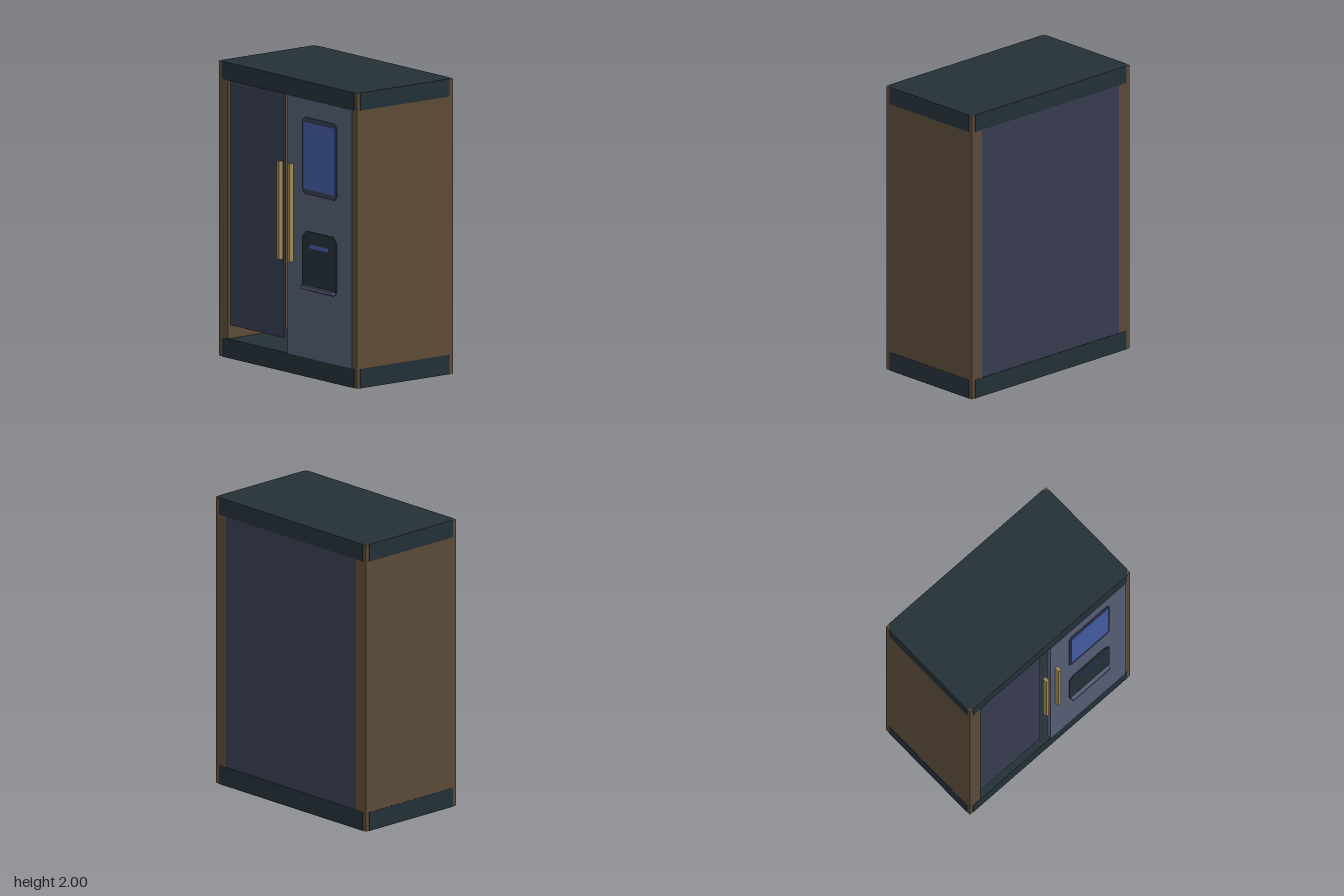
import * as THREE from 'three';

const mat = (name, color) => {
  const m = new THREE.MeshStandardMaterial({ color });
  m.name = name;
  return m;
};

export function createModel() {
  const brown = mat('brown casing', 0x5c4b38);
  const dark = mat('dark trim', 0x243038);
  const navy = mat('navy panel', 0x373c50);
  const slate = mat('slate door', 0x565e76);
  const blue = mat('blue display', 0x435aa0);
  const gold = mat('gold handle', 0xa08752);

  const model = new THREE.Group();
  model.name = 'cabinet';

  const add = (name, geometry, material) => {
    const mesh = new THREE.Mesh(geometry, material);
    mesh.name = name;
    model.add(mesh);
    return mesh;
  };

  // Box given by its minimum and maximum corners
  const box = (name, material, x0, x1, y0, y1, z0, z1) => {
    const g = new THREE.BoxGeometry(x1 - x0, y1 - y0, z1 - z0);
    g.translate((x0 + x1) / 2, (y0 + y1) / 2, (z0 + z1) / 2);
    return add(name, g, material);
  };

  // Rectangle with cut corners: cb on the low-v side, ct on the high-v side
  const cutRect = (u0, u1, v0, v1, cb, ct) => new THREE.Shape([
    [u0 + cb, v0], [u1 - cb, v0], [u1, v0 + cb], [u1, v1 - ct],
    [u1 - ct, v1], [u0 + ct, v1], [u0, v1 - ct], [u0, v0 + cb],
  ].map(([u, v]) => new THREE.Vector2(u, v)));

  const plate = (name, material, shape, z0, z1) => {
    const g = new THREE.ExtrudeGeometry(shape, { depth: z1 - z0, bevelEnabled: false });
    g.translate(0, 0, z0);
    return add(name, g, material);
  };

  // Side walls and back of the hollow casing
  box('leftWall', brown, 0.63, 0.725, 0.001, 1.999, -0.43, 0.39);
  box('rightWall', brown, -0.725, -0.63, 0.001, 1.999, -0.43, 0.39);
  box('backPanel', navy, -0.63, 0.63, 0.1, 1.9, -0.428, -0.4);

  // Top and bottom slabs with cut vertical corners
  for (const [name, y0, y1] of [['base', 0, 0.13], ['topCap', 1.88, 2]]) {
    const g = new THREE.ExtrudeGeometry(
      cutRect(-0.727, 0.727, -0.392, 0.432, 0.032, 0.032),
      { depth: y1 - y0, bevelEnabled: false });
    g.rotateX(-Math.PI / 2);
    g.translate(0, y0, 0);
    add(name, g, dark);
  }

  // Doors
  box('rightDoor', navy, -0.629, -0.07, 0.22, 1.88, 0.35, 0.37);
  box('leftDoor', slate, 0, 0.68, 0.13, 1.88, 0.36, 0.396);

  // Tall handles
  for (const x of [-0.058, 0.053])
    box('handle', gold, x - 0.012, x + 0.012, 0.76, 1.425, 0.396, 0.43);

  // Screen
  plate('screenFrame', navy, cutRect(0.165, 0.525, 1.24, 1.76, 0.025, 0.025), 0.39, 0.403);
  box('screen', blue, 0.18, 0.515, 1.275, 1.73, 0.4, 0.406);

  // Dispenser with light strip and drip tray
  plate('dispenser', dark, cutRect(0.165, 0.525, 0.59, 0.99, 0.035, 0.04), 0.39, 0.405);
  box('dispenserLight', blue, 0.25, 0.44, 0.88, 0.908, 0.402, 0.408);
  box('dripTray', slate, 0.175, 0.51, 0.6, 0.622, 0.395, 0.43);

  return model;
}
